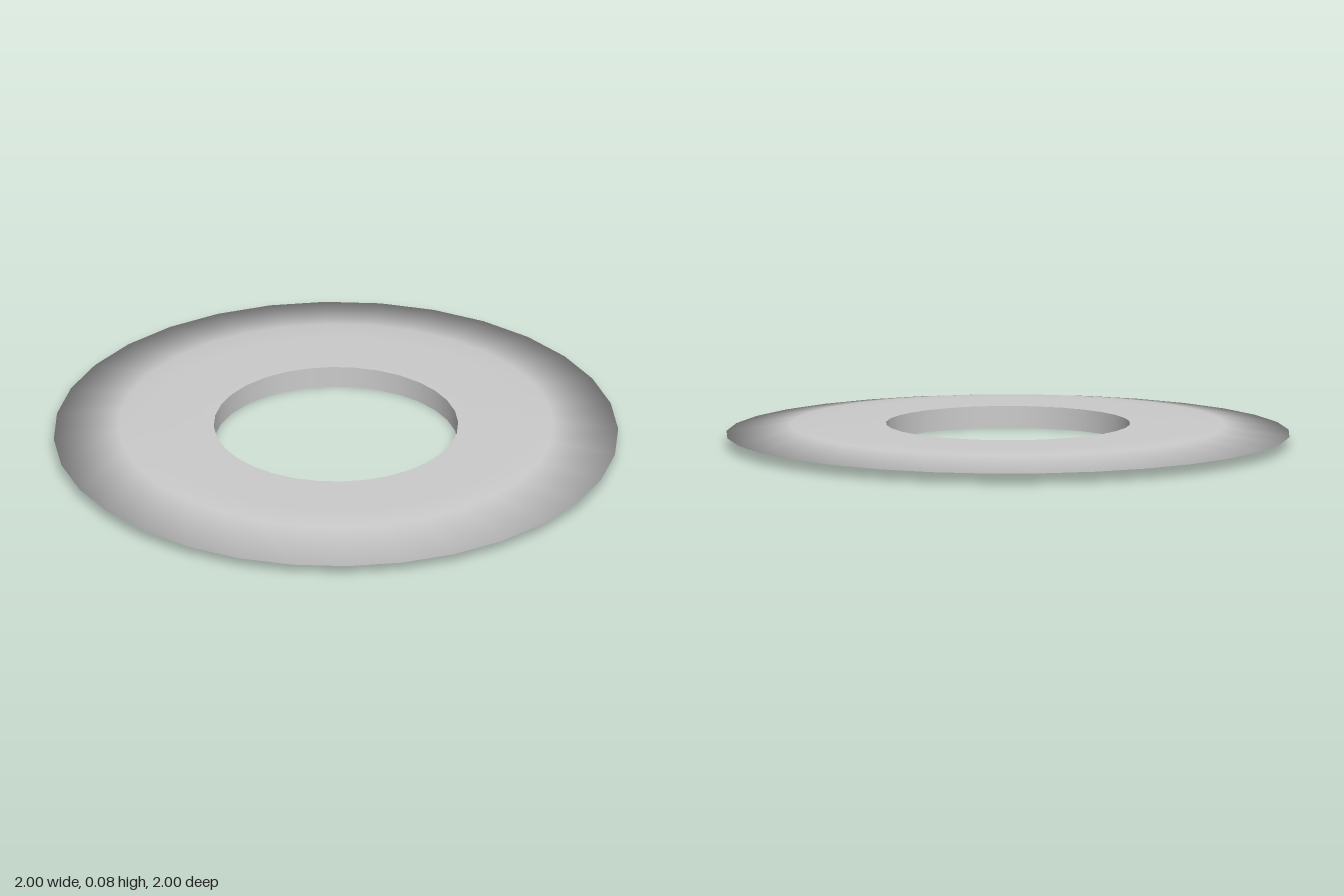
import * as THREE from 'three';

const SEGMENTS = 32;
const HEIGHT = 0.078;
const HOLE = 0.433;

export function createModel() {
  const group = new THREE.Group();
  group.name = 'ringDisc';
  const material = new THREE.MeshStandardMaterial({ color: 0xcccccc });

  const addLathe = (name, profile) => {
    const points = profile.map(([r, y]) => new THREE.Vector2(r, y));
    const mesh = new THREE.Mesh(new THREE.LatheGeometry(points, SEGMENTS), material);
    mesh.name = name;
    group.add(mesh);
  };

  // Flat faces tapering to a thin outer edge, mirrored top to bottom
  const lower = [[HOLE, 0], [0.66, 0], [0.77, 0.006]];
  const upper = lower.map(([r, y]) => [r, HEIGHT - y]).reverse();
  addLathe('discBody', [...lower, [1, HEIGHT / 2], ...upper]);

  // Straight wall of the centre hole, facing inward
  addLathe('holeWall', [[HOLE, HEIGHT], [HOLE, 0]]);

  return group;
}
